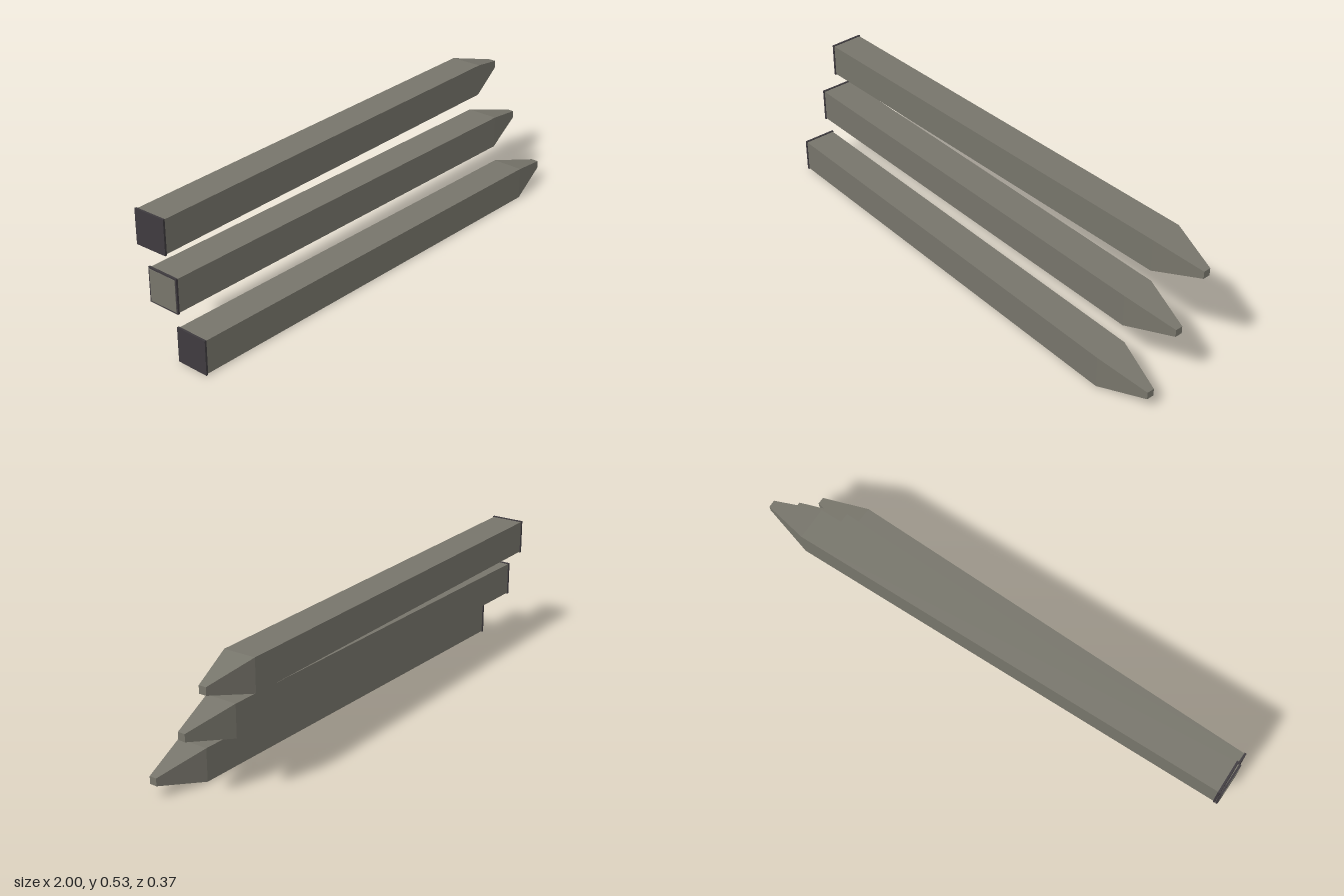
import * as THREE from 'three';

const wood = new THREE.MeshStandardMaterial({ color: 0x77756b });
wood.name = 'weathered grey';
const dark = new THREE.MeshStandardMaterial({ color: 0x3f3b3f });
dark.name = 'dark end';

const SIDE = 0.13, LIP = 0.136, TIP = 0.03, LIP_DEPTH = 0.008;

// Square shaft with a blunt pyramid point, running along +x from 0 to length
function picketGeometry(length, shoulder) {
  const r = Math.SQRT1_2;
  const profile = [
    [0, 0], [SIDE * r, 0], [SIDE * r, shoulder], [TIP * r, length], [0, length],
  ].map(([x, y]) => new THREE.Vector2(x, y));
  const g = new THREE.LatheGeometry(profile, 4, Math.PI / 4).toNonIndexed();
  g.computeVertexNormals();
  return g.rotateZ(-Math.PI / 2);
}

// One picket: butt end at (x, y, z), point aimed at z = tipZ
function picket(name, x, y, z, tipX, tipZ, shoulderX, bareEnd) {
  const group = new THREE.Group();
  group.name = name;
  const length = Math.hypot(tipX - x, tipZ - z);
  const shaft = new THREE.Mesh(picketGeometry(length, shoulderX - x), wood);
  shaft.name = 'pointedShaft';
  const lip = new THREE.Mesh(new THREE.BoxGeometry(LIP_DEPTH, LIP, LIP), dark);
  lip.name = 'darkEndCap';
  lip.position.x = LIP_DEPTH / 2 - 0.002;
  group.add(shaft, lip);
  // Bare wood showing inside the dark rim
  if (bareEnd) {
    const face = new THREE.Mesh(new THREE.BoxGeometry(0.002, 0.124, 0.124), wood);
    face.name = 'bareEndFace';
    face.position.x = -0.0025;
    group.add(face);
  }
  group.position.set(x, y, z);
  group.rotation.y = Math.atan2(z - tipZ, tipX - x);
  return group;
}

export function createModel() {
  const model = new THREE.Group();
  model.name = 'pickets';
  model.add(
    picket('lowerPicket', -0.984, 0.069, 0.12, 1.0, 0.11, 0.8, false),
    picket('middlePicket', -0.997, 0.268, 0.008, 0.986, -0.021, 0.785, true),
    picket('upperPicket', -0.99, 0.467, -0.049, 0.99, -0.129, 0.8, false),
  );
  return model;
}
